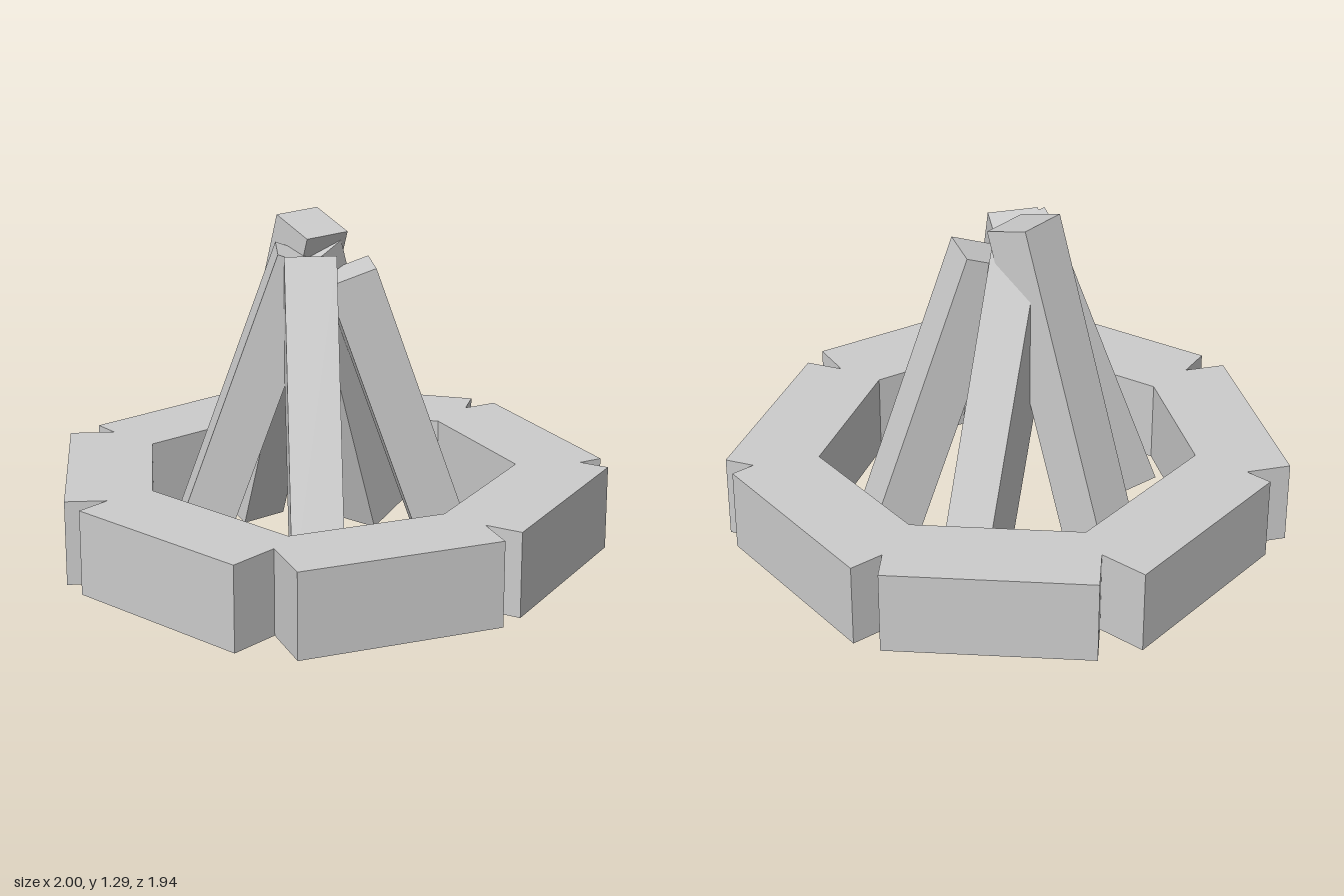
import * as THREE from 'three';

const STONE = { height: 0.325, depth: 0.32, length: 0.77 };
const LOG = 0.19; // side of the square log section

// Ends of each stone's outer edge, seen from above: x1, z1, x2, z2
const stones = [
  [-0.40, -0.975, 0.37, -0.975],
  [0.521, -0.89, 0.966, -0.266],
  [0.997, -0.164, 0.833, 0.589],
  [0.783, 0.675, 0.061, 0.944],
  [-0.04, 0.965, -0.772, 0.713],
  [-0.895, 0.525, -1.0, -0.235],
  [-0.991, -0.346, -0.537, -0.971],
];

// Middle of each log's outer face at its foot (x, z) and at its top (x, z, y)
const logs = [
  { name: 'backLog', foot: [-0.01, -0.59], top: [-0.02, -0.19, 1.285] },
  { name: 'backLeftLog', foot: [0.412, -0.18], top: [0.03, -0.11, 1.195] },
  { name: 'frontLeftLog', foot: [0.406, 0.306], top: [0.09, 0.109, 1.13] },
  { name: 'frontRightLog', foot: [-0.433, 0.426], top: [-0.18, 0.08, 1.19] },
  { name: 'backRightLog', foot: [-0.54, -0.32], top: [-0.209, -0.078, 1.195] },
];

export function createModel() {
  const group = new THREE.Group();
  const material = new THREE.MeshStandardMaterial({ color: 0xcccccc, flatShading: true });

  // Ring of seven block stones
  const ring = new THREE.Group();
  ring.name = 'stoneRing';
  const stoneGeometry = new THREE.BoxGeometry(STONE.length, STONE.height, STONE.depth);
  stones.forEach(([x1, z1, x2, z2], i) => {
    const along = new THREE.Vector3(x2 - x1, 0, z2 - z1).normalize();
    const inward = new THREE.Vector3(-along.z, 0, along.x);
    const stone = new THREE.Mesh(stoneGeometry, material);
    stone.name = `stone${i + 1}`;
    stone.position.set((x1 + x2) / 2, STONE.height / 2, (z1 + z2) / 2);
    stone.position.addScaledVector(inward, STONE.depth / 2);
    stone.rotation.y = -Math.atan2(along.z, along.x);
    ring.add(stone);
  });
  group.add(ring);

  // Five square logs leaning together
  const pile = new THREE.Group();
  pile.name = 'logPile';
  for (const { name, foot, top } of logs) {
    const a = new THREE.Vector3(foot[0], 0.063, foot[1]);
    const b = new THREE.Vector3(top[0], top[2], top[1]);
    const axis = b.clone().sub(a);
    const length = axis.length();
    axis.normalize();
    const side = new THREE.Vector3().crossVectors(axis, new THREE.Vector3(0, 1, 0)).normalize();
    const outward = new THREE.Vector3().crossVectors(side, axis); // upper, outer face
    const log = new THREE.Mesh(new THREE.BoxGeometry(LOG, length, LOG), material);
    log.name = name;
    log.quaternion.setFromRotationMatrix(new THREE.Matrix4().makeBasis(side, axis, outward));
    log.position.copy(a).add(b).multiplyScalar(0.5).addScaledVector(outward, -LOG / 2);
    pile.add(log);
  }
  group.add(pile);

  return group;
}
